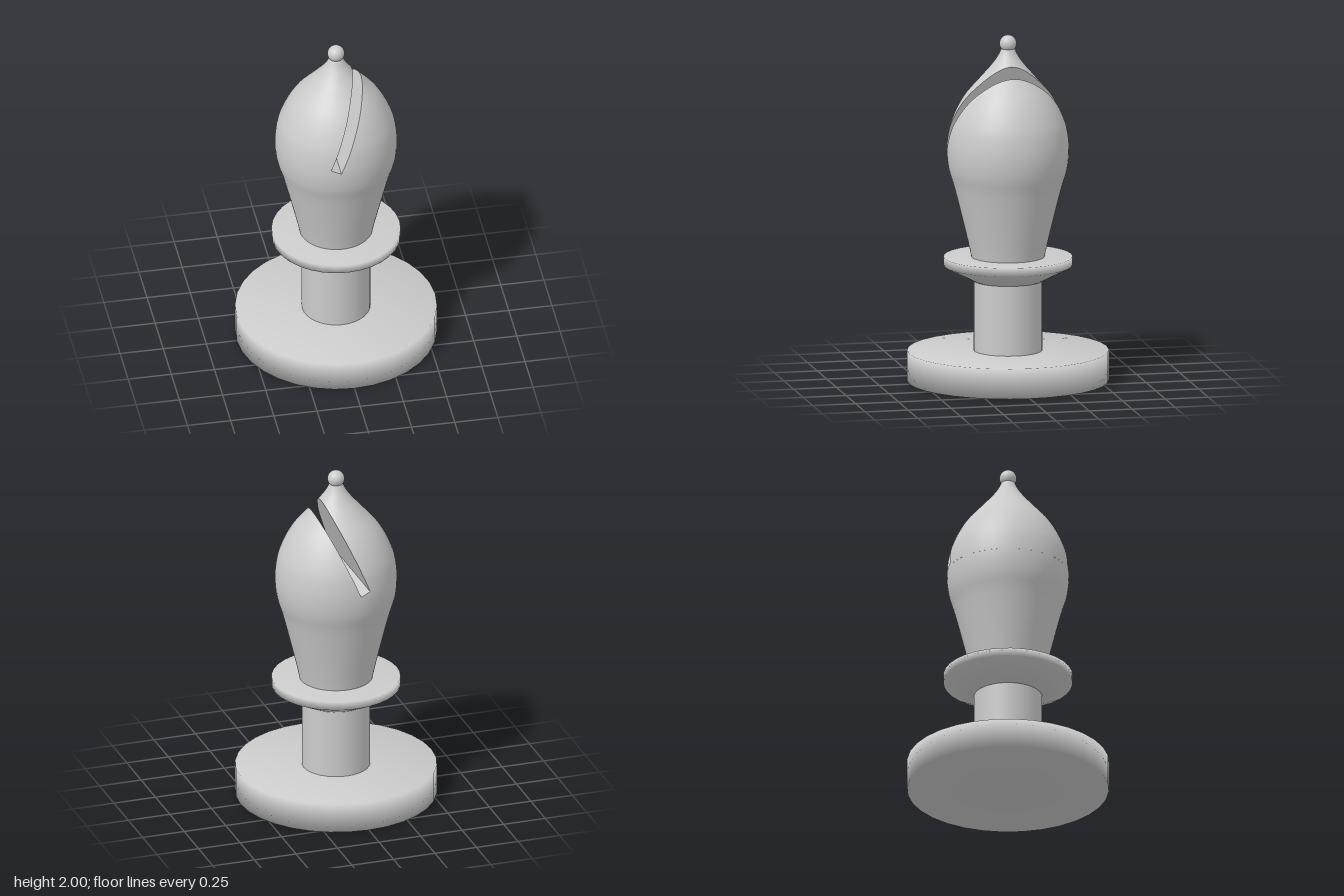
import * as THREE from 'three';
import { ParametricGeometry } from 'three/addons/geometries/ParametricGeometry.js';

const smooth = new THREE.MeshStandardMaterial({ color: 0xcccccc, side: THREE.DoubleSide });
const flat = new THREE.MeshStandardMaterial({ color: 0xcccccc, side: THREE.DoubleSide, flatShading: true });

// Body radius as a smooth function of height
const heights = [0.70, 0.78, 0.95, 1.13, 1.22, 1.317, 1.41, 1.50, 1.645, 1.77, 1.83, 1.88, 1.93];
const radii = [0.205, 0.222, 0.263, 0.309, 0.336, 0.348, 0.343, 0.323, 0.251, 0.145, 0.093, 0.058, 0.034];
const spline = new THREE.CubicInterpolant(heights, radii, 1, new Float64Array(1));
const radius = (y) => spline.evaluate(y)[0];

// Straight edges of the slanted slot: x as a function of y
const edge = (x0, y0, x1, y1) => (y) => x0 + ((x1 - x0) * (y - y0)) / (y1 - y0);
const slotFloor = edge(-0.033, 1.351, -0.09, 1.373);
const slotLeft = edge(-0.09, 1.373, 0.093, 1.83);
const slotRight = edge(-0.033, 1.351, 0.145, 1.77);

const ease = (v) => Math.sin(v * 1.5) / Math.sin(1.5);
const cutAngle = (x, y) => Math.acos(THREE.MathUtils.clamp(x / radius(y), -1, 0.9999));

export function createModel() {
  const model = new THREE.Group();

  const add = (name, geometry, material, parent = model) => {
    const mesh = new THREE.Mesh(geometry, material);
    mesh.name = name;
    parent.add(mesh);
    return mesh;
  };
  const turned = (name, points) =>
    add(name, new THREE.LatheGeometry(points.map(([r, y]) => new THREE.Vector2(r, y)), 32), smooth);

  // Base, stem and collar
  turned('base', [[0, 0], [0.575, 0], [0.575, 0.175], [0, 0.175]]);
  turned('stem', [[0.195, 0.17], [0.195, 0.60]]);
  turned('collar', [[0, 0.58], [0.2, 0.58], [0.368, 0.668], [0.368, 0.718], [0, 0.718]]);

  // Body, with a slot running through it from front to back
  const body = new THREE.Group();
  body.name = 'body';
  model.add(body);

  // Outer skin between two heights, over the angle range start(y)..end(y)
  const skin = (name, y0, y1, start, end, rows) =>
    add(name, new ParametricGeometry((u, v, p) => {
      const y = y0 + (y1 - y0) * ease(v);
      const a = THREE.MathUtils.lerp(end(y), start(y), u);
      const r = radius(y);
      p.set(r * Math.cos(a), y, r * Math.sin(a));
    }, 64, rows), smooth, body);

  // Flat slot face along an edge; side is +1 when it faces +x
  const cut = (name, y0, y1, x, side, rows) =>
    add(name, new ParametricGeometry((u, v, p) => {
      const y = y0 + (y1 - y0) * ease(v);
      const w = Math.sqrt(Math.max(0, radius(y) ** 2 - x(y) ** 2));
      p.set(x(y), y, side * w * (1 - 2 * u));
    }, 4, rows), flat, body);

  const full = [() => 0, () => Math.PI * 2];
  const leftOf = (x) => [(y) => cutAngle(x(y), y), (y) => Math.PI * 2 - cutAngle(x(y), y)];
  const rightOf = (x) => [(y) => -cutAngle(x(y), y), (y) => cutAngle(x(y), y)];

  skin('lowerBody', 0.70, 1.351, ...full, 24);
  skin('bodyBesideFloor', 1.351, 1.373, ...leftOf(slotFloor), 2);
  skin('bodyBesideSlot', 1.373, 1.83, ...leftOf(slotLeft), 28);
  skin('bodyTip', 1.83, 1.93, ...full, 8);
  skin('bodyLip', 1.351, 1.77, ...rightOf(slotRight), 28);
  cut('slotFloor', 1.351, 1.373, slotFloor, 1, 2);
  cut('slotInnerWall', 1.373, 1.83, slotLeft, 1, 28);
  cut('slotOuterWall', 1.351, 1.77, slotRight, -1, 28);

  // Finial ball
  add('finial', new THREE.SphereGeometry(0.049, 32, 20), smooth).position.y = 1.951;

  return model;
}
